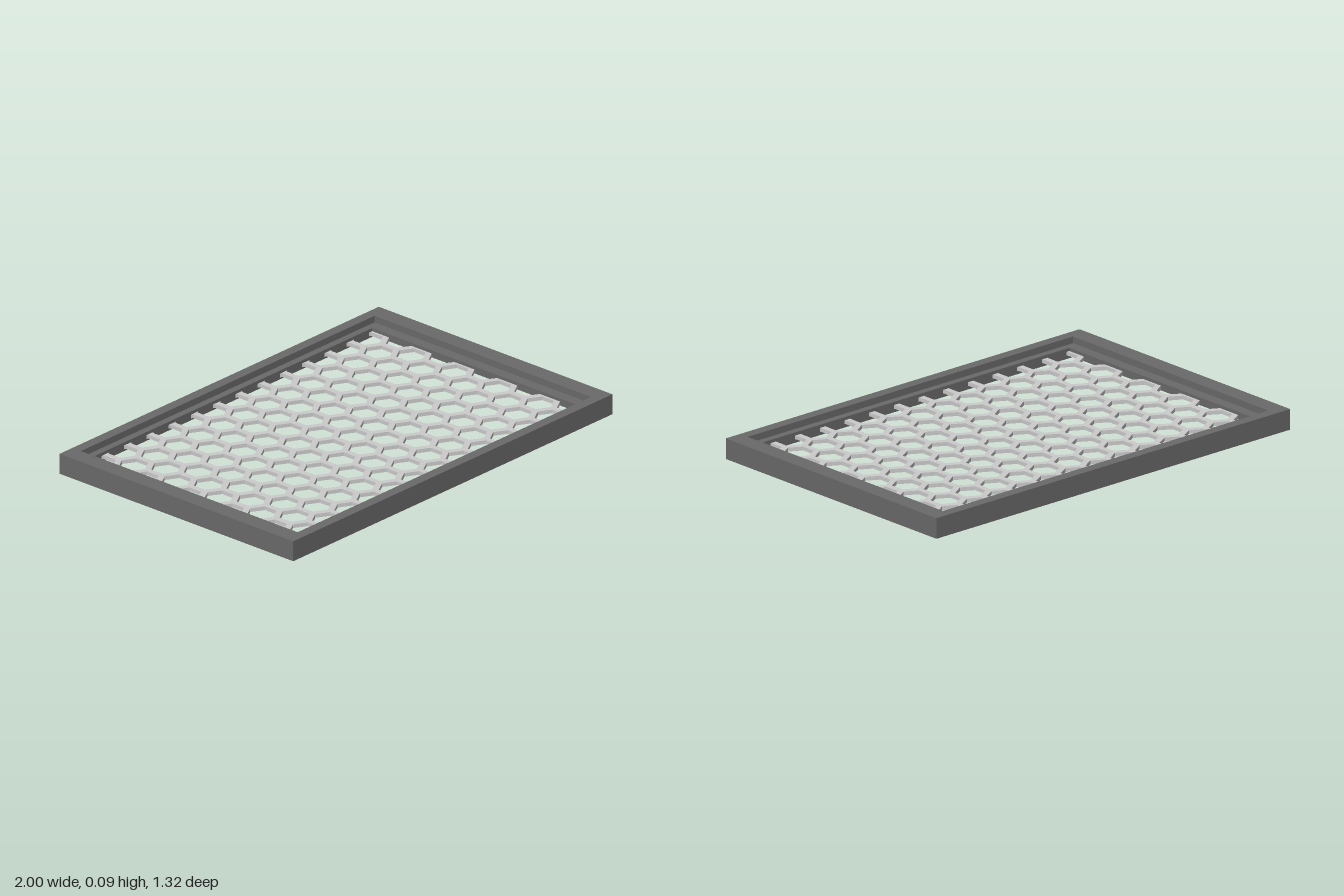
import * as THREE from 'three';

const W = 0.87, D = 0.58;            // half size of the clear opening
const PITCH = 0.1395, STRUT = 0.027; // honeycomb spacing and bar width

const rect = (x, y) => [[-x, -y], [x, -y], [x, y], [-x, y]].map(p => new THREE.Vector2(...p));

// Flat plate with holes, lying level between heights y0 and y1
function plate(name, outline, holes, y0, y1, material) {
  const shape = new THREE.Shape(outline);
  shape.holes = holes.map(h => new THREE.Path(h));
  const geo = new THREE.ExtrudeGeometry(shape, { depth: y1 - y0, bevelEnabled: false });
  geo.rotateX(-Math.PI / 2);
  geo.translate(0, y0, 0);
  const mesh = new THREE.Mesh(geo, material);
  mesh.name = name;
  return mesh;
}

// Cut a convex polygon to the half plane sign * axis <= limit
function clip(points, axis, sign, limit) {
  const out = [];
  points.forEach((a, i) => {
    const b = points[(i + 1) % points.length];
    const da = limit - sign * a[axis], db = limit - sign * b[axis];
    if (da >= 0) out.push(a);
    if (da * db < 0) out.push(a.clone().lerp(b, da / (da - db)));
  });
  return out;
}

// Pointed-top hexagons in staggered rows, trimmed at the opening
function honeycombHoles() {
  const holes = [], r = (PITCH - STRUT) / Math.sqrt(3);
  for (let row = -6; row <= 6; row++) {
    const z = 0.062 + row * PITCH * 0.866;
    for (let col = -8; col <= 8; col++) {
      const x = 0.035 + (col + (row % 2 ? 0.5 : 0)) * PITCH;
      let hex = [];
      for (let k = 0; k < 6; k++) {
        const a = (k + 0.5) * Math.PI / 3;
        hex.push(new THREE.Vector2(x + r * Math.cos(a), -z + r * Math.sin(a)));
      }
      for (const s of [-1, 1]) {
        hex = clip(hex, 'x', s, W + 0.004);
        hex = clip(hex, 'y', s, D + 0.004);
      }
      if (hex.length > 2 && Math.abs(THREE.ShapeUtils.area(hex)) > 1e-4) holes.push(hex);
    }
  }
  return holes;
}

export function createModel() {
  const group = new THREE.Group();
  group.name = 'framedGrille';
  const dark = new THREE.MeshStandardMaterial({ color: 0x6a6a6a });
  const grey = new THREE.MeshStandardMaterial({ color: 0xcccccc });

  // Outer frame, with a narrower ledge set back from both faces
  group.add(plate('outerFrame', rect(1, 0.66), [rect(0.92, 0.612)], 0, 0.092, dark));
  group.add(plate('innerLedge', rect(0.925, 0.617), [rect(W, D)], 0.03, 0.062, dark));

  // Honeycomb panel held by the ledge
  group.add(plate('honeycombGrille', rect(W + 0.02, D + 0.015), honeycombHoles(), 0.031, 0.048, grey));
  return group;
}
